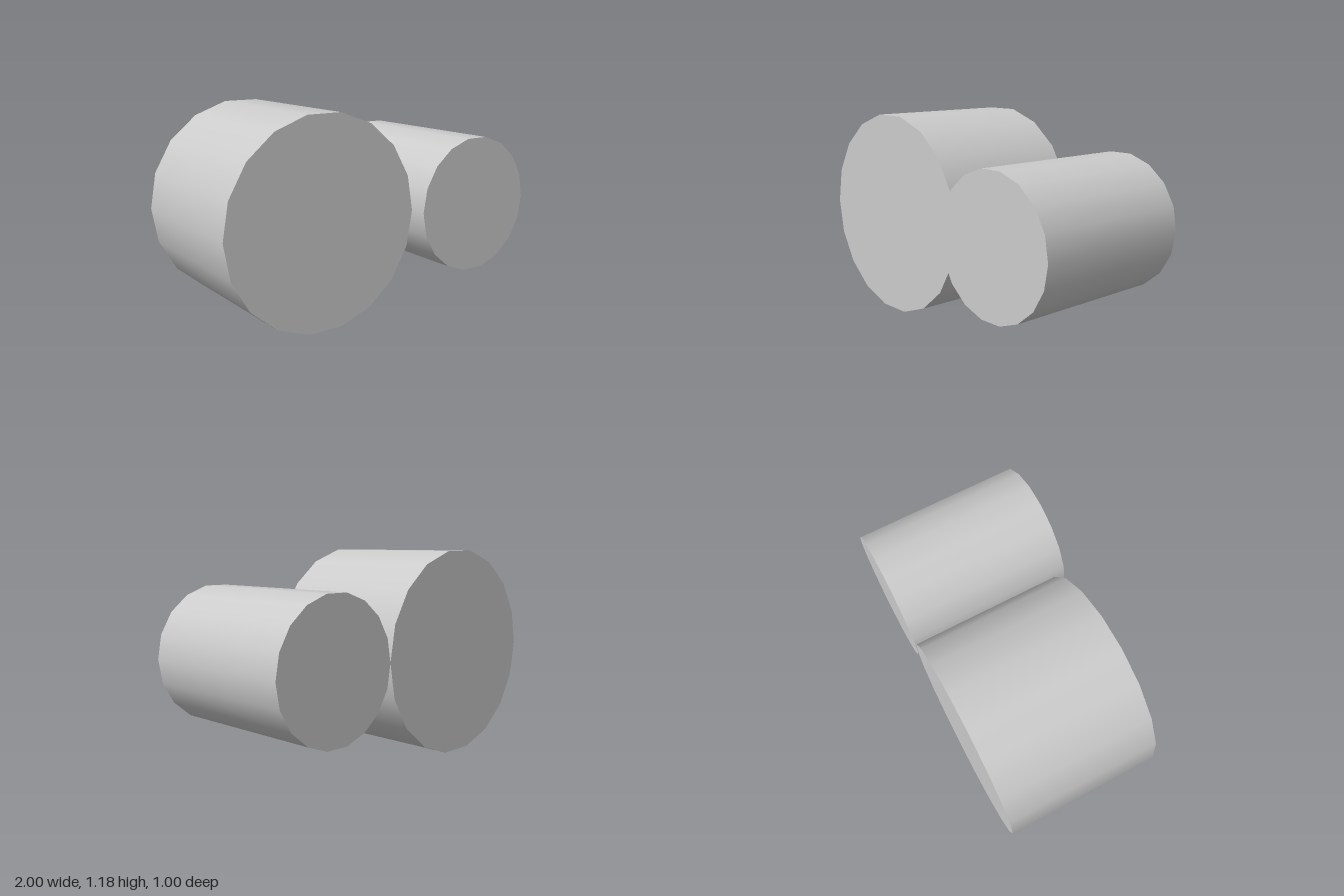
import * as THREE from 'three';

const SIDES = 18;
const BACK = -0.5;
const AXIS_Y = 0.6 * Math.cos(Math.PI / SIDES); // large roller rests on a flat facet

// Solid roller lying along z, with corners pointing to +x and -x
function roller(name, radius, x, length) {
  const geometry = new THREE.CylinderGeometry(radius, radius, length, SIDES, 1, false, Math.PI / 2);
  geometry.rotateX(Math.PI / 2);
  const mesh = new THREE.Mesh(geometry, new THREE.MeshStandardMaterial({ color: 0xcccccc }));
  mesh.name = name;
  mesh.position.set(x, AXIS_Y, BACK + length / 2);
  return mesh;
}

export function createModel() {
  const group = new THREE.Group();
  group.name = 'rollerPair';
  // Two rollers touching along x = 0.2, flush at the back
  group.add(roller('largeRoller', 0.6, -0.4, 0.9));
  group.add(roller('smallRoller', 0.4, 0.6, 1));
  return group;
}
